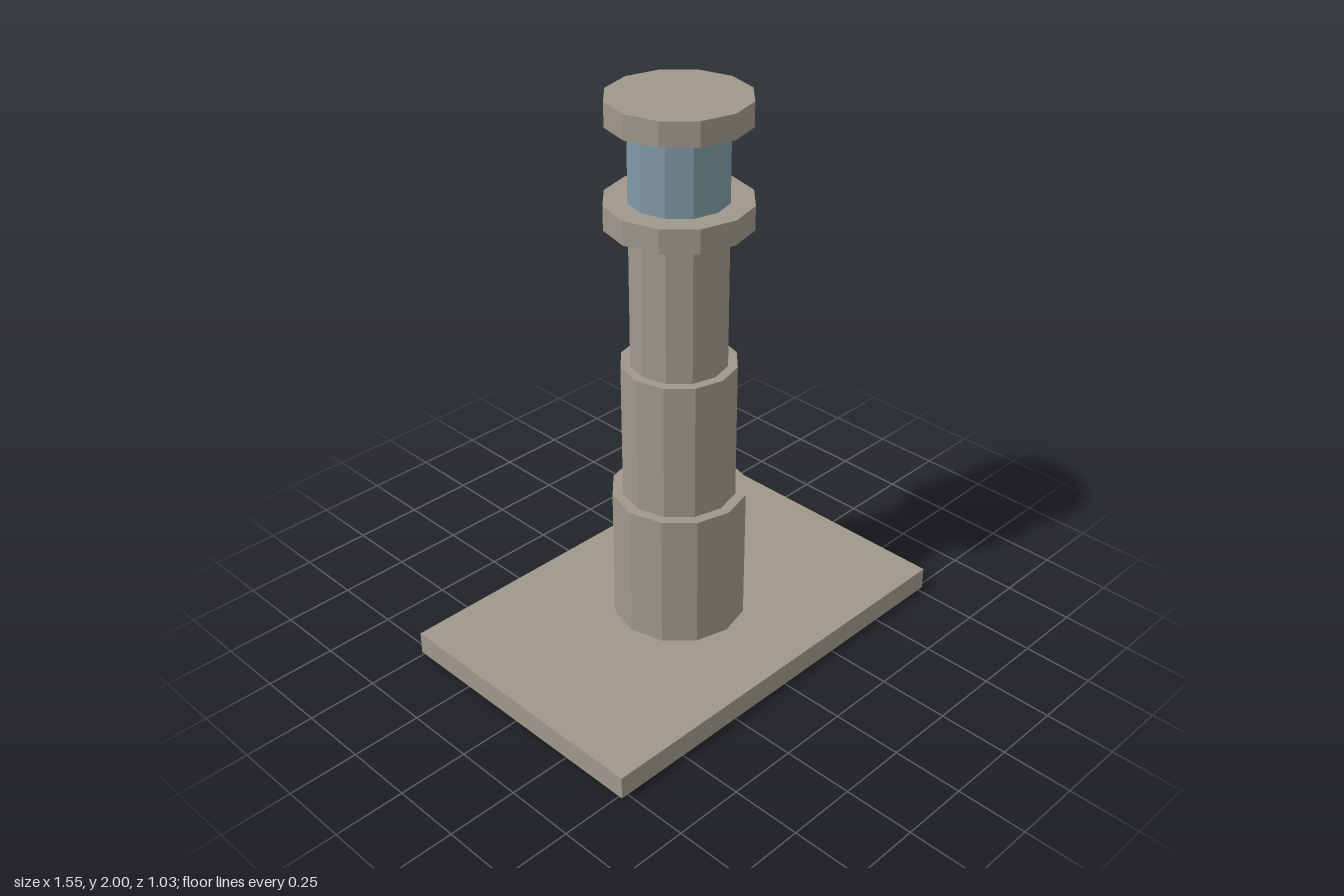
import * as THREE from 'three';

export function createModel() {
  const model = new THREE.Group();
  model.name = 'lighthouse';

  const stone = new THREE.MeshStandardMaterial({ color: 0x9e978b });
  stone.name = 'warm grey stone';
  const glass = new THREE.MeshStandardMaterial({ color: 0x7f99a5 });
  glass.name = 'blue grey glass';
  stone.flatShading = glass.flatShading = true;

  // Rectangular ground slab
  const slab = new THREE.Mesh(new THREE.BoxGeometry(1.55, 0.083, 1.027), stone);
  slab.name = 'baseSlab';
  slab.position.y = 0.0415;
  model.add(slab);

  // Stacked twelve-sided drums: name, radius, bottom, top, material
  const drums = [
    ['lowerTower', 0.237, 0.083, 0.581, stone],
    ['middleTower', 0.2, 0.581, 1.079, stone],
    ['upperTower', 0.167, 1.079, 1.577, stone],
    ['gallery', 0.247, 1.577, 1.66, stone],
    ['lanternRoom', 0.167, 1.66, 1.917, glass],
    ['roof', 0.237, 1.917, 2, stone],
  ];
  for (const [name, radius, bottom, top, material] of drums) {
    const drum = new THREE.Mesh(
      new THREE.CylinderGeometry(radius, radius, top - bottom, 12), material);
    drum.name = name;
    drum.position.y = (bottom + top) / 2;
    model.add(drum);
  }

  return model;
}
